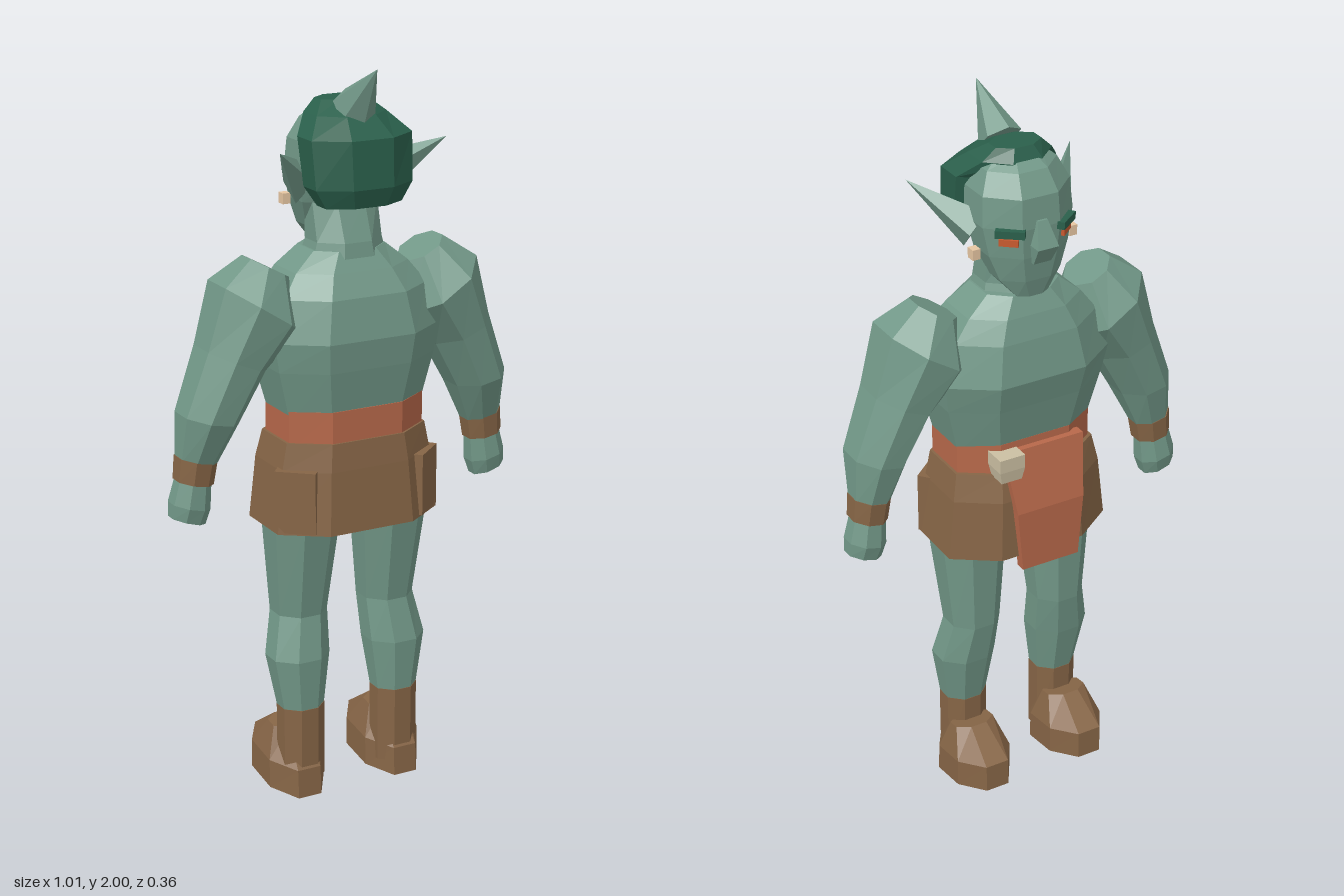
import * as THREE from 'three';

const mat = (name, color) => {
  const m = new THREE.MeshStandardMaterial({ color });
  m.name = name;
  return m;
};

// Loft through rings listed bottom to top: [x, y, zBack, zFront, halfWidth, tilt].
// k above 1 makes the eight-sided section squarer.
function loft(rings, n = 8, k = 1) {
  const grow = 1 / Math.cos(Math.PI / n);
  const q = v => (Math.abs(v) > 0.9 ? v : v * k);
  const pos = [];
  const pts = rings.map(([x, y, zb, zf, rx, tilt = 0]) =>
    Array.from({ length: n }, (_, j) => {
      const a = ((j + 0.5) / n) * Math.PI * 2;
      const u = q(Math.cos(a) * grow) * rx, w = q(Math.sin(a) * grow);
      return [x + u * Math.cos(tilt), y + u * Math.sin(tilt), (zb + zf) / 2 + w * (zb - zf) / 2];
    }));
  const tri = (a, b, c) => pos.push(...a, ...b, ...c);
  for (let i = 0; i < pts.length - 1; i++) {
    for (let j = 0; j < n; j++) {
      const h = (j + 1) % n;
      tri(pts[i][j], pts[i + 1][j], pts[i][h]);
      tri(pts[i][h], pts[i + 1][j], pts[i + 1][h]);
    }
  }
  const last = pts[pts.length - 1];
  for (let j = 1; j < n - 1; j++) {
    tri(pts[0][0], pts[0][j], pts[0][j + 1]);
    tri(last[0], last[j + 1], last[j]);
  }
  const g = new THREE.BufferGeometry();
  g.setAttribute('position', new THREE.Float32BufferAttribute(pos, 3));
  g.computeVertexNormals();
  return g;
}

// Flat-sided cone from a base point to a tip, flattened across its width.
function spike(base, tip, radius, flat, sides) {
  const a = new THREE.Vector3(...base), axis = new THREE.Vector3(...tip).sub(a);
  const len = axis.length();
  axis.normalize();
  const w = new THREE.Vector3(0, 1, 0).addScaledVector(axis, -axis.y).normalize();
  const g = new THREE.ConeGeometry(radius, len, sides).toNonIndexed();
  g.rotateY(Math.PI / 2).translate(0, len / 2, 0).scale(1, 1, flat);
  g.applyMatrix4(new THREE.Matrix4().makeBasis(w, axis, w.clone().cross(axis)));
  g.translate(...base);
  g.computeVertexNormals();
  return g;
}

export function createModel() {
  const root = new THREE.Group();
  const skin = mat('skin green', 0x729888);
  const hair = mat('hair dark green', 0x2a5f4b);
  const leather = mat('leather brown', 0x866546);
  const cloth = mat('cloth rust', 0xb7684a);
  const bone = mat('bone', 0xcbbfa2);
  const eyeCol = mat('eye orange', 0xc8592f);
  const gold = mat('earring', 0xe6c6a2);

  const add = (name, geo, m) => {
    const mesh = new THREE.Mesh(geo, m);
    mesh.name = name;
    root.add(mesh);
    return mesh;
  };
  const box = (name, size, p, m, ry = 0) => {
    const b = add(name, new THREE.BoxGeometry(...size), m);
    b.position.set(...p);
    b.rotation.y = ry;
    return b;
  };

  // Trunk
  add('torso', loft([
    [0, 1.08, 0.13, -0.115, 0.195], [0, 1.22, 0.155, -0.145, 0.23],
    [0, 1.3, 0.165, -0.165, 0.243], [0, 1.41, 0.145, -0.145, 0.21],
    [0, 1.47, 0.11, -0.125, 0.165], [0, 1.52, 0.08, -0.1, 0.105],
  ], 8, 1.25), skin);
  add('neck', loft([
    [0, 1.48, 0.095, -0.1, 0.11], [0, 1.54, 0.085, -0.08, 0.095], [0, 1.64, 0.045, -0.07, 0.095],
  ]), skin);
  add('belt', loft([[0, 1.0, 0.138, -0.125, 0.2], [0, 1.11, 0.138, -0.122, 0.2]], 8, 1.25), cloth);
  add('skirt', loft([
    [0, 0.78, 0.165, -0.163, 0.24], [0, 0.95, 0.152, -0.153, 0.222], [0, 1.025, 0.143, -0.135, 0.207],
  ], 8, 1.25), leather);
  add('loincloth', loft([
    [-0.015, 0.745, -0.152, -0.181, 0.085], [-0.015, 0.92, -0.148, -0.18, 0.1], [-0.015, 1.09, -0.11, -0.14, 0.12],
  ], 4), cloth);
  add('beltCharm', loft([
    [0.095, 1.02, -0.1, -0.164, 0.03], [0.095, 1.055, -0.1, -0.169, 0.037], [0.095, 1.093, -0.1, -0.169, 0.037],
  ], 4), bone);

  // Head
  add('head', loft([
    [0, 1.52, -0.07, -0.12, 0.045], [0, 1.57, 0, -0.132, 0.088], [0, 1.64, 0.05, -0.142, 0.115],
    [0, 1.72, 0.08, -0.147, 0.13], [0, 1.8, 0.09, -0.14, 0.125], [0, 1.855, 0.08, -0.105, 0.1],
    [0, 1.885, 0.03, -0.06, 0.06],
  ]), skin);
  add('nose', loft([
    [0, 1.625, -0.12, -0.152, 0.025], [0, 1.675, -0.12, -0.182, 0.03], [0, 1.74, -0.12, -0.152, 0.014],
  ], 4), skin);
  add('hair', loft([
    [0, 1.645, 0.15, 0.03, 0.11], [0, 1.695, 0.167, 0.0, 0.14], [0, 1.82, 0.16, -0.03, 0.145],
    [0, 1.87, 0.1, -0.08, 0.1], [0, 1.903, 0.03, -0.06, 0.065],
  ]), hair);
  add('topSpike', spike([0, 1.88, 0.06], [0, 2.0, 0.18], 0.066, 0.85, 6), skin);

  for (const s of [1, -1]) {
    const side = s > 0 ? 'left' : 'right';
    const m = rings => rings.map(([x, y, b, f, r, t = 0]) => [x * s, y, b, f, r, t * s]);

    // Face details and ears
    add(side + 'Ear', spike([0.118 * s, 1.69, -0.02], [0.24 * s, 1.8, 0.115], 0.058, 0.7, 4), skin);
    box(side + 'Earring', [0.022, 0.028, 0.026], [0.141 * s, 1.645, -0.056], gold);
    box(side + 'Eye', [0.05, 0.018, 0.009], [0.083 * s, 1.688, -0.127], eyeCol, -0.71 * s);
    box(side + 'Brow', [0.075, 0.02, 0.03], [0.078 * s, 1.714, -0.128], hair, -0.65 * s);

    // Arm, cuff and hand
    add(side + 'Arm', loft(m([
      [0.431, 0.99, 0.048, -0.058, 0.051, 0.2], [0.402, 1.11, 0.1, -0.085, 0.076, 0.2],
      [0.335, 1.26, 0.118, -0.1, 0.088, 0.4], [0.265, 1.39, 0.14, -0.12, 0.125, 0.58],
      [0.228, 1.488, 0.07, -0.06, 0.062, 0.5],
    ])), skin);
    add(side + 'Cuff', loft(m([
      [0.439, 0.935, 0.045, -0.057, 0.05, 0.2], [0.431, 0.998, 0.051, -0.061, 0.053, 0.2],
    ])), leather);
    add(side + 'Hand', loft(m([
      [0.458, 0.83, 0.03, -0.05, 0.048, 0.3], [0.45, 0.87, 0.04, -0.06, 0.053, 0.25],
      [0.438, 0.945, 0.035, -0.05, 0.045, 0.2],
    ])), skin);

    // Pouch on the rear corner of the skirt
    box(side + 'Pouch', [0.11, 0.17, 0.05], [0.187 * s, 0.87, 0.095], leather, 0.7 * s);

    // Leg and boot
    add(side + 'Leg', loft(m([
      [0.145, 0.25, 0.08, -0.03, 0.06], [0.148, 0.4, 0.09, -0.062, 0.082],
      [0.133, 0.52, 0.065, -0.08, 0.072], [0.133, 0.8, 0.115, -0.092, 0.098],
    ])), skin);
    add(side + 'BootShaft', loft(m([
      [0.145, 0.04, 0.08, -0.03, 0.061], [0.145, 0.255, 0.082, -0.032, 0.061],
    ])), leather);
    // The sole rises toward the toes
    const foot = loft(m([
      [0.15, 0, 0.09, -0.18, 0.083], [0.15, 0.08, 0.085, -0.178, 0.083], [0.15, 0.165, 0.01, -0.075, 0.058],
    ]));
    const p = foot.attributes.position;
    for (let i = 0; i < p.count; i++) p.setY(i, p.getY(i) + (0.09 - p.getZ(i)) * 0.15);
    foot.computeVertexNormals();
    add(side + 'Foot', foot, leather);
  }
  return root;
}
